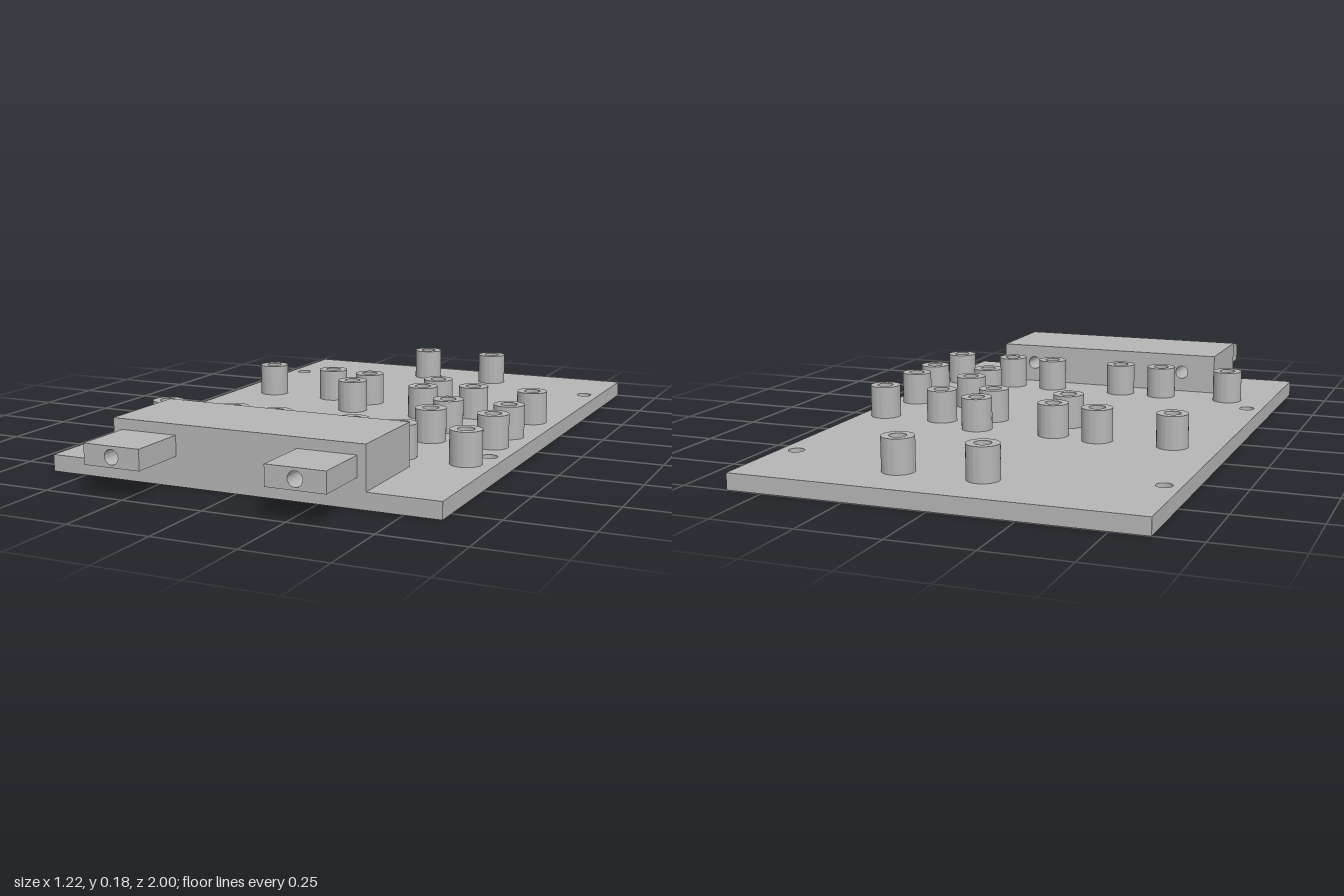
import * as THREE from 'three';
import { toCreasedNormals } from 'three/addons/utils/BufferGeometryUtils.js';

const PLATE_TOP = 0.05;
const POST_TOP = 0.152;

// Rectangle outline, optionally pierced by round holes [x, y, radius]
function rectShape(x0, x1, y0, y1, holes = []) {
  const s = new THREE.Shape();
  s.moveTo(x0, y0).lineTo(x1, y0).lineTo(x1, y1).lineTo(x0, y1).closePath();
  for (const [x, y, r] of holes) s.holes.push(new THREE.Path().absarc(x, y, r, 0, Math.PI * 2, true));
  return s;
}

// Extrusion with smooth bores and sharp edges
function extrude(shape, depth, curveSegments = 16) {
  const g = new THREE.ExtrudeGeometry(shape, { depth, bevelEnabled: false, curveSegments });
  return toCreasedNormals(g, 0.6);
}

export function createModel() {
  const model = new THREE.Group();
  model.name = 'mountingBoard';
  const grey = new THREE.MeshStandardMaterial({ color: 0xb6b6b6 });
  grey.name = 'grey';

  const add = (geometry, name) => {
    const mesh = new THREE.Mesh(geometry, grey);
    mesh.name = name;
    model.add(mesh);
    return mesh;
  };

  // Base plate with four screw holes; shape y becomes -z
  const screwHoles = [];
  for (const x of [-0.562, 0.558]) for (const z of [-0.71, 0.307]) screwHoles.push([x, -z, 0.024]);
  const plate = extrude(rectShape(-0.612, 0.609, -0.815, 1, screwHoles), PLATE_TOP);
  plate.rotateX(-Math.PI / 2);
  add(plate, 'basePlate');

  // Connector block, bored through from front to back
  const bores = [-0.28, 0.278].map((x) => [x, 0.117, 0.022]);
  const block = extrude(rectShape(-0.397, 0.392, PLATE_TOP, 0.18, bores), 0.3);
  block.translate(0, 0, 0.515);
  add(block, 'connectorBlock');

  // Two projecting tabs that continue the bores
  for (const bore of bores) {
    const tab = extrude(rectShape(bore[0] - 0.089, bore[0] + 0.089, 0.087, 0.148, [bore]), 0.185);
    tab.translate(0, 0, 0.815);
    add(tab, bore[0] > 0 ? 'leftTab' : 'rightTab');
  }

  // Hollow standoff posts, listed as rows: z, then the x positions
  const ring = new THREE.Shape().absarc(0, 0, 0.048, 0, Math.PI * 2, false);
  ring.holes.push(new THREE.Path().absarc(0, 0, 0.025, 0, Math.PI * 2, true));
  const post = extrude(ring, POST_TOP - PLATE_TOP, 24);
  post.rotateX(-Math.PI / 2);
  const rows = [
    [-0.82, [-0.085, 0.17]],
    [-0.29, [-0.468, -0.233]],
    [-0.272, [-0.085, 0.17]],
    [-0.2, [0.323, 0.524]],
    [-0.132, [-0.085, 0.17]],
    [0.034, [0.323, 0.524]],
    [0.182, [0.323, 0.524]],
    [0.415, [-0.468, -0.233, -0.085, 0.17, 0.323, 0.524]],
  ];
  for (const [z, xs] of rows) {
    for (const x of xs) add(post, 'standoffPost').position.set(x, PLATE_TOP, z);
  }

  return model;
}
